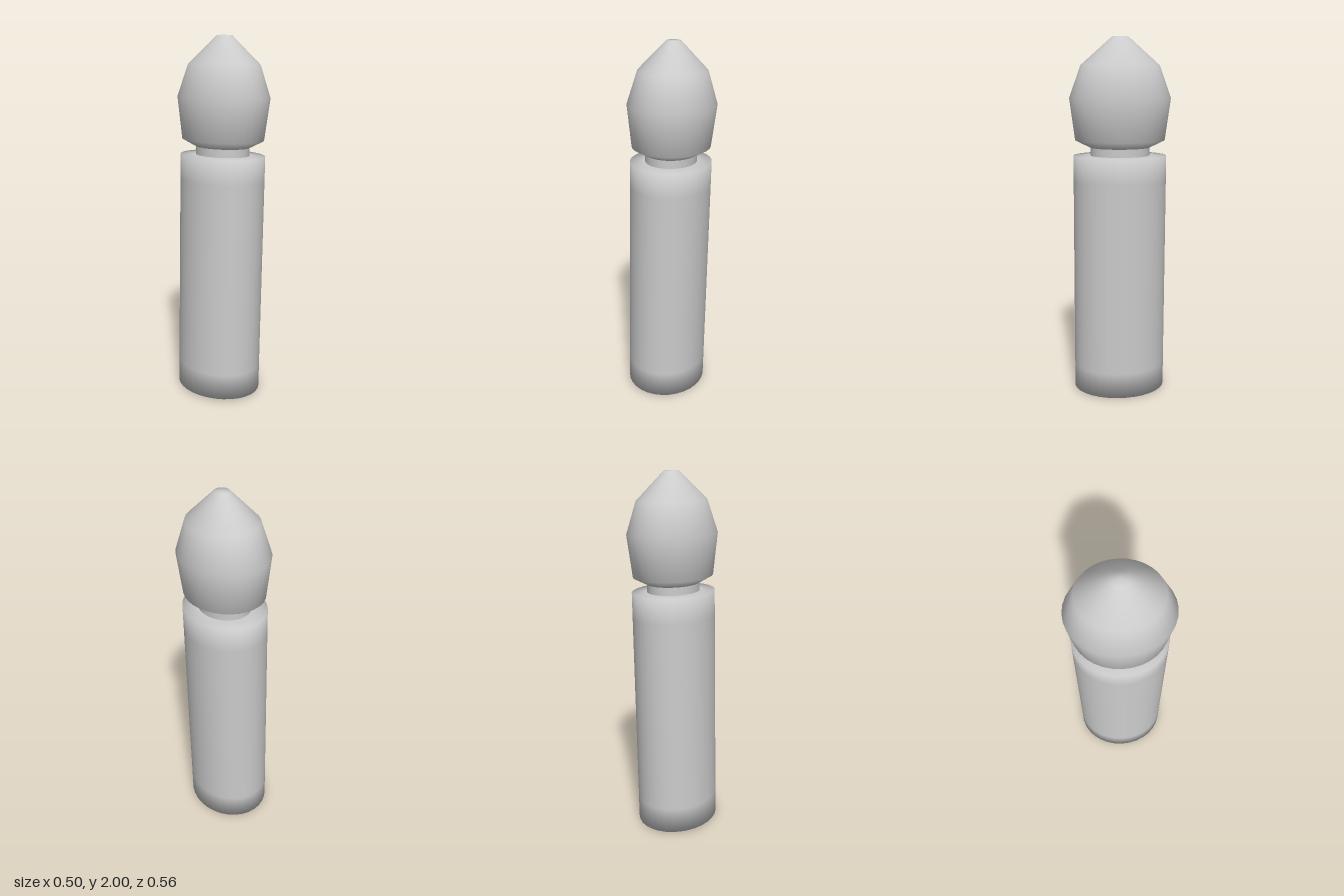
import * as THREE from 'three';

const SIDES = 32;
const FLATTEN_X = 0.85; // oval cross-section, narrower across x
const LEAN = -0.0215;   // slight tilt towards +x

export function createModel() {
  const group = new THREE.Group();
  group.name = 'ovalPost';
  const material = new THREE.MeshStandardMaterial({ color: 0xcccccc });

  // Turns a [radius, height] profile, bottom to top, into an oval solid
  const addTurned = (name, profile) => {
    const points = profile.map(([r, y]) => new THREE.Vector2(r, y));
    const mesh = new THREE.Mesh(new THREE.LatheGeometry(points, SIDES), material);
    mesh.name = name;
    mesh.scale.x = FLATTEN_X;
    group.add(mesh);
  };

  // Straight shaft with softly shaded rims and closed ends
  addTurned('shaft', [[0, 0], [0.26, 0], [0.26, 0.14], [0.26, 1.21], [0.26, 1.348], [0.165, 1.348]]);

  // Short recessed neck
  addTurned('neck', [[0.165, 1.348], [0.165, 1.392]]);

  // Bud-shaped head with a small flat tip
  addTurned('head', [[0.165, 1.392], [0.25, 1.433], [0.281, 1.663], [0.218, 1.838], [0.045, 1.991], [0, 1.991]]);

  group.rotation.z = LEAN;
  group.position.set(-0.03, 0.008, 0);

  const model = new THREE.Group();
  model.name = 'model';
  model.add(group);
  return model;
}
